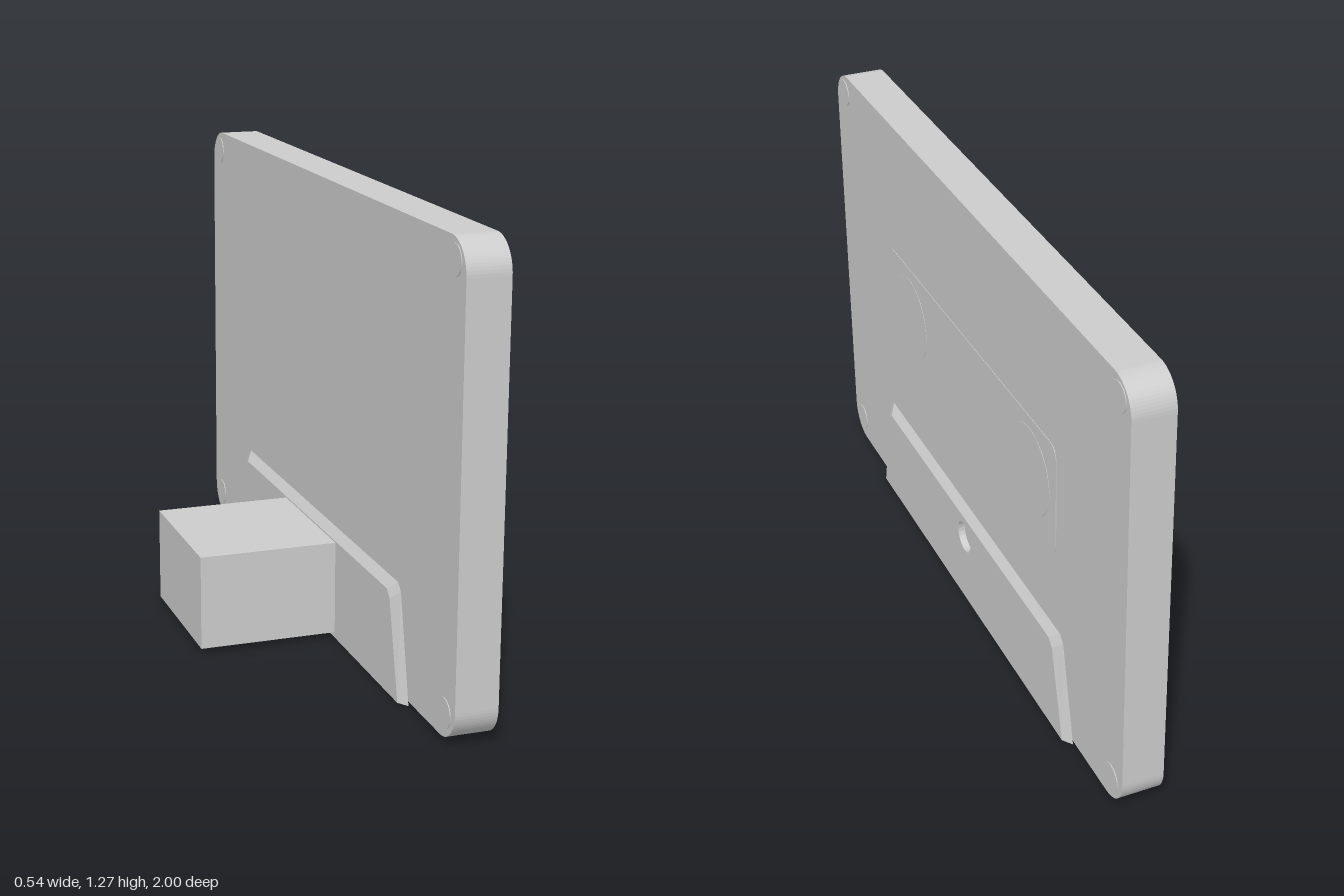
import * as THREE from 'three';

const material = new THREE.MeshStandardMaterial({ color: 0xcccccc, side: THREE.DoubleSide });

// Shapes are drawn in the (-z, y) plane and extruded along +x.
function slab(shape, x, depth, curveSegments = 8) {
  const g = new THREE.ExtrudeGeometry(shape, { depth, bevelEnabled: false, curveSegments });
  g.rotateY(Math.PI / 2);
  g.translate(x, 0, 0);
  return g;
}

function roundedRect(w, y0, y1, r) {
  const s = new THREE.Shape();
  s.moveTo(w - r, y0);
  s.absarc(w - r, y0 + r, r, -Math.PI / 2, 0, false);
  s.absarc(w - r, y1 - r, r, 0, Math.PI / 2, false);
  s.absarc(-w + r, y1 - r, r, Math.PI / 2, Math.PI, false);
  s.absarc(-w + r, y0 + r, r, Math.PI, Math.PI * 1.5, false);
  return s;
}

// Case outline with two openings along the bottom edge
function caseShape() {
  const s = new THREE.Shape();
  const r = 0.09, y0 = 0.012, y1 = 1.272;
  s.moveTo(-1 + r, y0);
  for (const [a, b] of [[-0.66, -0.21], [0.21, 0.66]]) {
    s.lineTo(a, y0);
    s.lineTo(a + (a < 0 ? 0.05 : 0), 0.22);
    s.lineTo(b - (a > 0 ? 0.05 : 0), 0.22);
    s.lineTo(b, y0);
  }
  s.lineTo(1 - r, y0);
  s.absarc(1 - r, y0 + r, r, -Math.PI / 2, 0, false);
  s.absarc(1 - r, y1 - r, r, 0, Math.PI / 2, false);
  s.absarc(-1 + r, y1 - r, r, Math.PI / 2, Math.PI, false);
  s.absarc(-1 + r, y0 + r, r, Math.PI, Math.PI * 1.5, false);
  return s;
}

// Raised trapezoid with a sloped rim and a round hole
function raisedPanel() {
  const s = new THREE.Shape();
  s.moveTo(-0.705, 0);
  s.lineTo(0.705, 0);
  s.lineTo(0.64, 0.29);
  s.lineTo(0.62, 0.31);
  s.lineTo(-0.62, 0.31);
  s.lineTo(-0.64, 0.29);
  s.closePath();
  const hole = new THREE.Path();
  hole.absarc(0, 0.217, 0.046, 0, Math.PI * 2, true);
  s.holes.push(hole);
  const g = slab(s, 0, 0.02, 12);
  const p = g.attributes.position;
  for (let i = 0; i < p.count; i++) {
    const z = p.getZ(i);
    if (p.getX(i) < 0.01 || Math.abs(z) < 0.5) continue;
    p.setZ(i, z - Math.sign(z) * 0.028);
    if (p.getY(i) > 0.1) p.setY(i, p.getY(i) - 0.025);
  }
  g.computeVertexNormals();
  return g;
}

function disc(r, x, y, z, depth, sides = 32) {
  const g = new THREE.CylinderGeometry(r, r, depth, sides);
  g.rotateZ(Math.PI / 2);
  g.translate(x, y, z);
  return g;
}

export function createModel() {
  const group = new THREE.Group();
  const add = (name, geometry) => {
    const mesh = new THREE.Mesh(geometry, material);
    mesh.name = name;
    group.add(mesh);
    return mesh;
  };

  add('case', slab(caseShape(), 0.134, 0.116));

  // Raised panels on both faces
  add('frontPanel', raisedPanel()).position.x = 0.25;
  const back = add('backPanel', raisedPanel());
  back.rotation.y = Math.PI;
  back.position.x = 0.134;

  // Window and reels, barely proud of the face
  add('window', slab(roundedRect(0.595, 0.54, 0.87, 0.035), 0.249, 0.0025));
  for (const z of [-0.43, 0.43]) add('reel', disc(0.126, 0.2505, 0.71, z, 0.004, 48));

  // Corner screws on both faces
  for (const z of [-0.935, 0.935]) {
    for (const y of [0.08, 1.215]) {
      add('screw', disc(0.04, 0.192, y, z, 0.1205, 20));
    }
  }

  // Guide pins inside the bottom openings
  for (const z of [0.45, -0.34, -0.51]) add('guidePin', disc(0.05, 0.192, 0.075, z, 0.116, 24));

  // Block reaching out behind the case
  const block = new THREE.BoxGeometry(0.53, 0.265, 0.425);
  block.translate(-0.01, 0.1485, -0.0075);
  // keep the block clear of the hole in the front panel
  const p = block.attributes.position;
  for (let i = 0; i < p.count; i++) if (p.getX(i) > 0) p.setX(i, 0.24);
  add('rearBlock', block);

  return group;
}
